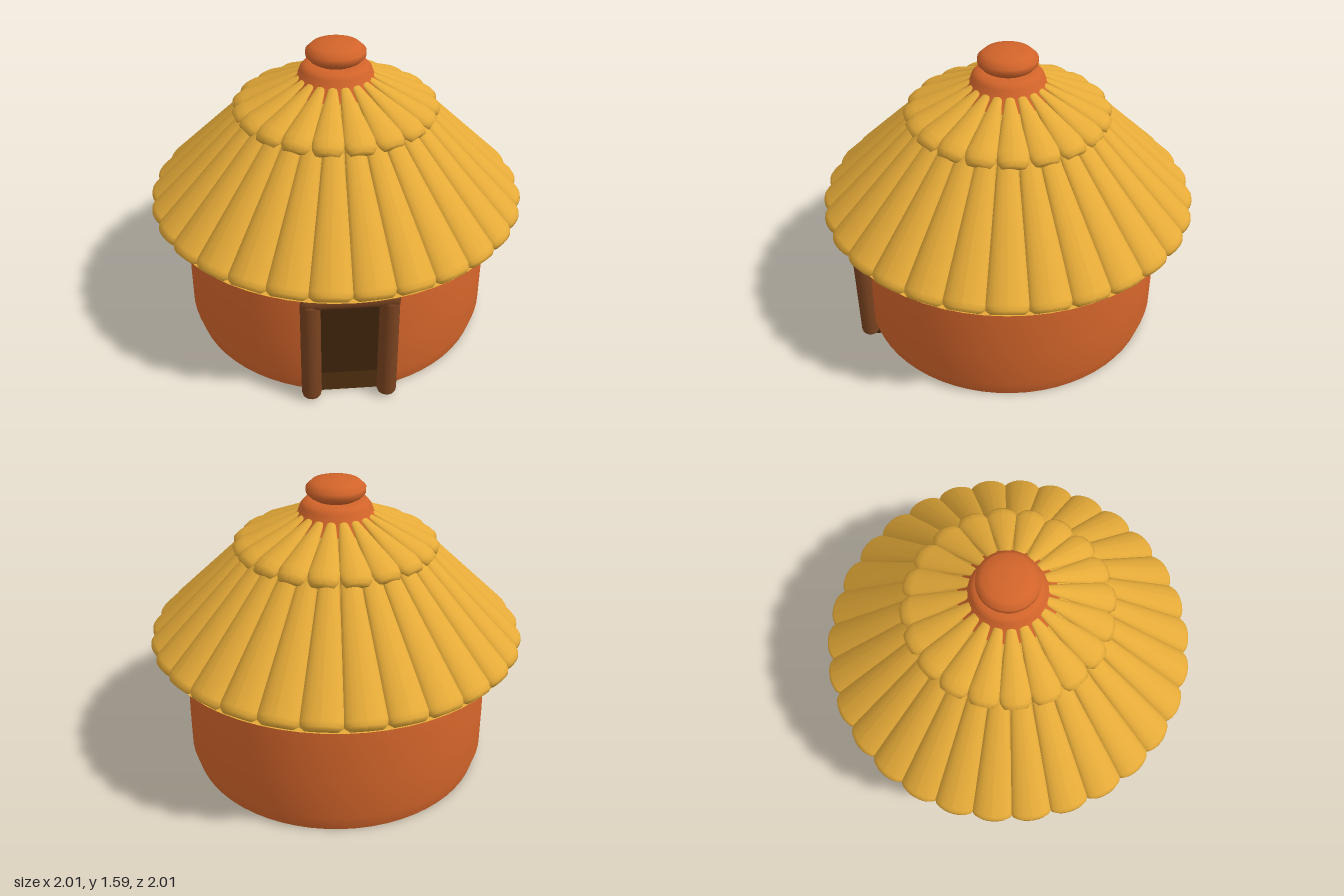
import * as THREE from 'three';

const clay = new THREE.MeshStandardMaterial({ color: 0xd2642a, side: THREE.DoubleSide });
clay.name = 'clay';
const straw = new THREE.MeshStandardMaterial({ color: 0xe5aa38, side: THREE.DoubleSide });
straw.name = 'straw';
const wood = new THREE.MeshStandardMaterial({ color: 0x7a4320 });
wood.name = 'wood';
const shade = new THREE.MeshStandardMaterial({ color: 0x40250a, side: THREE.DoubleSide });
shade.name = 'darkInterior';

function add(parent, name, geometry, material) {
  const mesh = new THREE.Mesh(geometry, material);
  mesh.name = name;
  parent.add(mesh);
  return mesh;
}

// Surface of revolution from [radius, height] pairs, listed bottom to top
function lathe(points, segments = 48, start = 0, length = Math.PI * 2) {
  return new THREE.LatheGeometry(points.map(([r, y]) => new THREE.Vector2(r, y)), segments, start, length);
}

// Tapered rod along y with rounded ends; round sets how long the rounding is
function rod(length, bottom, top, segments, round = 0.4) {
  const h = length / 2, b = bottom * round, t = top * round;
  return lathe([
    [0, -h], [bottom * 0.72, -h], [bottom * 0.93, -h + b * 0.4], [bottom, -h + b],
    [top, h - t], [top * 0.93, h - t * 0.4], [top * 0.72, h], [0, h],
  ], segments);
}

// Ring of straw bundles, domed above and flatter below.
// low and high are [radius, height, share of the ring filled] at the axis ends
function thatchLayer(name, count, low, high, round) {
  const layer = new THREE.Group();
  layer.name = name;
  const dr = low[0] - high[0], dy = high[1] - low[1];
  const fit = Math.tan(Math.PI / count);
  const geometry = rod(Math.hypot(dr, dy), low[0] * fit * low[2], high[0] * fit * high[2], 20, round);
  const p = geometry.attributes.position;
  for (let i = 0; i < p.count; i++) p.setZ(i, p.getZ(i) * (p.getZ(i) > 0 ? 0.52 : 0.25));
  geometry.computeVertexNormals();
  geometry.rotateX(-Math.atan2(dr, dy));
  geometry.translate(0, (low[1] + high[1]) / 2, (low[0] + high[0]) / 2);
  for (let i = 0; i < count; i++) {
    add(layer, 'strawBundle', geometry, straw).rotation.y = (i + 0.5) * Math.PI * 2 / count;
  }
  return layer;
}

export function createModel() {
  const hut = new THREE.Group();
  hut.name = 'hut';

  // Round wall, open beneath, with a gap for the doorway
  const gap = 0.23;
  add(hut, 'lowerWall', lathe([[0.815, 0], [0.84, 0.09], [0.838, 0.3], [0.83, 0.5], [0.814, 0.62]],
    60, gap, Math.PI * 2 - gap * 2), clay);
  add(hut, 'upperWall', lathe([[0.814, 0.62], [0.797, 0.72]], 60, gap, Math.PI * 2), clay);

  // Dark doorway recess, open to the front
  const recess = new THREE.BoxGeometry(0.44, 0.62, 0.12);
  recess.setIndex(Array.from(recess.index.array).filter((_, i) => i < 24 || i >= 30));
  recess.clearGroups();
  add(hut, 'doorRecess', recess, shade).position.set(0, 0.312, 0.75);

  // Door frame
  for (const side of [-1, 1]) {
    add(hut, 'doorPost', rod(0.61, 0.051, 0.05, 12), wood).position.set(side * 0.192, 0.315, 0.838);
  }
  const lintel = add(hut, 'doorLintel', rod(0.475, 0.047, 0.047, 12, 0.7), wood);
  lintel.rotation.z = Math.PI / 2;
  lintel.position.set(0, 0.625, 0.838);

  // Roof lining and flat eave
  add(hut, 'roofLining', lathe([[0.94, 0.706], [0.455, 1.2], [0.13, 1.42]], 60), straw);
  const eave = add(hut, 'eave', new THREE.RingGeometry(0.797, 0.968, 60), straw);
  eave.rotation.x = Math.PI / 2;
  eave.position.y = 0.704;

  // Two thatch layers
  hut.add(thatchLayer('lowerThatch', 30, [0.978, 0.722, 1.05], [0.475, 1.245, 1], 0.4));
  hut.add(thatchLayer('upperThatch', 20, [0.53, 1.228, 0.98], [0.14, 1.442, 0.6], 0.9));

  // Clay collar, showing between the bundle tips, and rounded cap
  add(hut, 'roofCollar', lathe([[0.25, 1.36], [0.2, 1.415], [0.185, 1.455], [0.165, 1.478],
    [0.13, 1.485], [0, 1.487]], 40), clay);
  add(hut, 'roofCap', lathe([[0, 1.48], [0.11, 1.485], [0.135, 1.5], [0.155, 1.522],
    [0.155, 1.55], [0.125, 1.578], [0.07, 1.59], [0, 1.594]], 32), clay);

  return hut;
}
